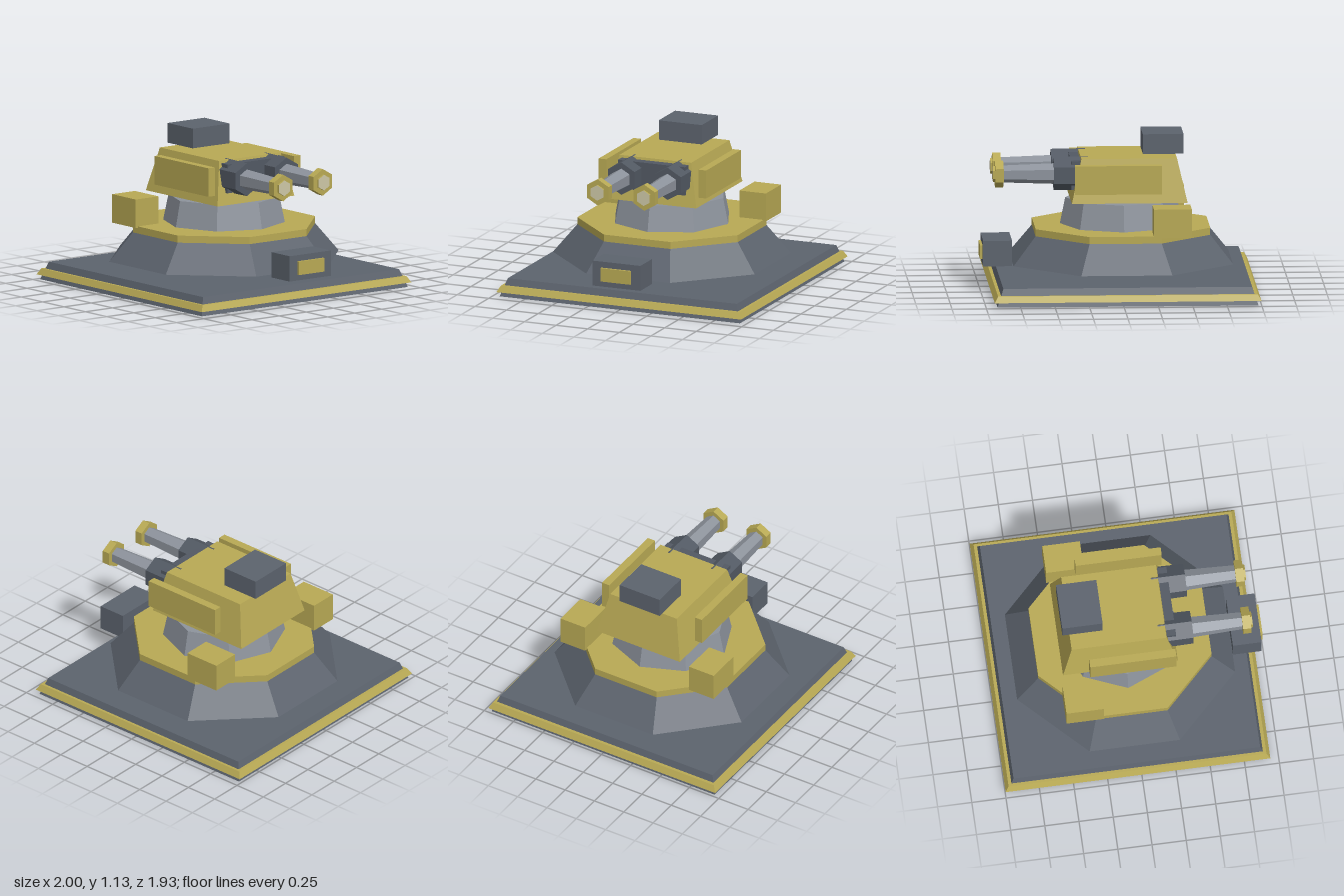
import * as THREE from 'three';

const paint = (name, color) => {
  const m = new THREE.MeshStandardMaterial({ color, flatShading: true });
  m.name = name;
  return m;
};

export function createModel() {
  const yellow = paint('ochre yellow', 0xb8a954);
  const slate = paint('slate grey', 0x5c636d);
  const gunmetal = paint('dark gunmetal', 0x525963);
  const steel = paint('light steel', 0x8d939c);
  const cream = paint('pale cream', 0xccc7a6);

  const model = new THREE.Group();
  model.name = 'turret';
  const CX = -0.03; // turning axis of base and turret

  const add = (name, geometry, material, parent = model) => {
    const mesh = new THREE.Mesh(geometry, material);
    mesh.name = name;
    parent.add(mesh);
    return mesh;
  };

  // Box given by its limits on each axis
  const box = (name, [x0, x1], [y0, y1], [z0, z1], material) => {
    const g = new THREE.BoxGeometry(x1 - x0, y1 - y0, z1 - z0);
    g.translate((x0 + x1) / 2, (y0 + y1) / 2, (z0 + z1) / 2);
    return add(name, g, material);
  };

  // Rectangular block whose top is inset: half sizes [x, z] at bottom and top
  const taperedBlock = (name, cx, y0, y1, bottom, top, material) => {
    const g = new THREE.BoxGeometry(2, y1 - y0, 2);
    const p = g.attributes.position;
    for (let i = 0; i < p.count; i++) {
      const half = p.getY(i) > 0 ? top : bottom;
      p.setX(i, p.getX(i) * half[0]);
      p.setZ(i, p.getZ(i) * half[1]);
    }
    g.translate(cx, (y0 + y1) / 2, 0);
    g.computeVertexNormals();
    return add(name, g, material);
  };

  // Upright eight-sided drum
  const octagon = (name, y0, y1, rBottom, rTop, turn, material) => {
    const g = new THREE.CylinderGeometry(rTop, rBottom, y1 - y0, 8);
    g.rotateY(turn);
    g.translate(CX, (y0 + y1) / 2, 0);
    return add(name, g, material);
  };

  // Six-sided rod along x with a corner pointing up
  const hexRod = (name, x0, x1, r0, r1, material, parent) => {
    const g = new THREE.CylinderGeometry(r1, r0, x1 - x0, 6);
    g.rotateY(Math.PI / 6);
    g.rotateZ(-Math.PI / 2);
    g.translate((x0 + x1) / 2, 0, 0);
    return add(name, g, material, parent);
  };

  // Square foundation with a trim band
  taperedBlock('foundation', CX, 0, 0.13, [0.947, 0.95], [0.902, 0.905], slate);
  taperedBlock('foundationTrim', CX, 0.035, 0.08, [0.968, 0.967], [0.943, 0.942], yellow);

  // Octagonal pedestal, deck and neck
  octagon('pedestal', 0.2, 0.41, 0.863, 0.684, Math.PI / 8, slate);
  octagon('deckRing', 0.408, 0.46, 0.686, 0.686, Math.PI / 8, yellow);
  octagon('neck', 0.455, 0.65, 0.445, 0.405, 0, steel);

  // Turret head, roof box and gun mount
  taperedBlock('head', -0.075, 0.658, 0.975, [0.42, 0.355], [0.347, 0.283], yellow);
  box('roofBox', [-0.475, -0.18], [0.99, 1.135], [-0.17, 0.17], slate);
  box('gunMount', [0.2, 0.345], [0.745, 0.957], [-0.265, 0.265], gunmetal);

  // Side armour, deck crates and guns on both sides
  for (const s of [1, -1]) {
    const side = s > 0 ? 'left' : 'right';
    const span = (a, b) => (s > 0 ? [a, b] : [-b, -a]);
    box(side + 'ArmourPlate', [-0.305, 0.325], [0.735, 0.945], span(0.365, 0.425), yellow);
    box(side + 'DeckCrate', [-0.51, -0.235], [0.45, 0.66], span(0.443, 0.653), yellow);

    const gun = new THREE.Group();
    gun.name = side + 'Gun';
    gun.position.set(0, 0.855, s * 0.183);
    hexRod('sleeve', 0.22, 0.47, 0.124, 0.121, gunmetal, gun);
    hexRod('barrel', 0.46, 0.85, 0.076, 0.062, steel, gun);
    hexRod('muzzle', 0.835, 0.895, 0.098, 0.098, yellow, gun);
    hexRod('muzzleTip', 0.89, 0.91, 0.058, 0.058, [yellow, cream, yellow], gun);
    model.add(gun);
  }

  // Control box with its panel at the edge of the foundation
  box('controlBox', [0.77, 0.98], [0.178, 0.365], [-0.19, 0.19], slate);
  box('controlPanel', [0.975, 0.998], [0.22, 0.32], [-0.117, 0.117], yellow);

  return model;
}
